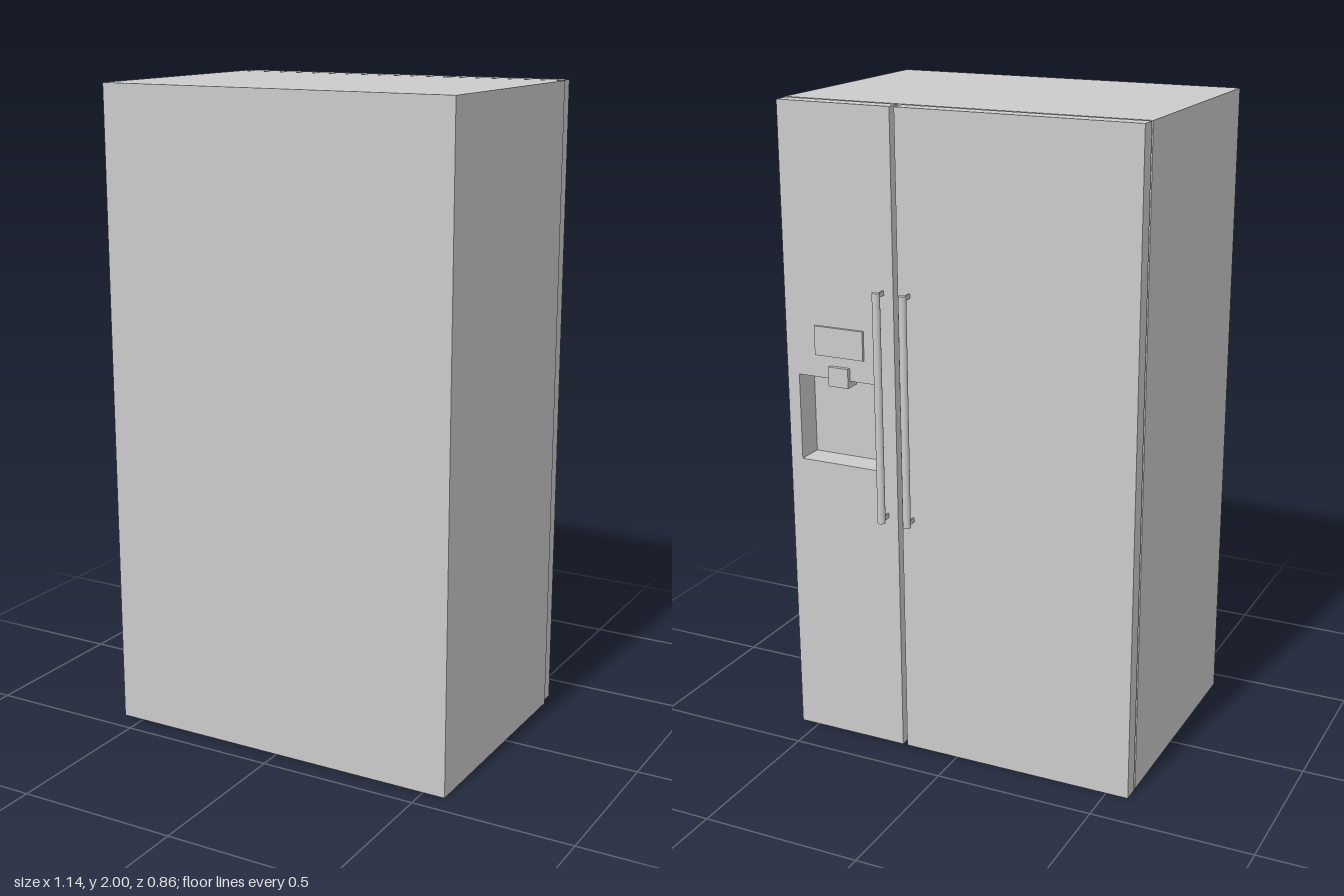
import * as THREE from 'three';

const material = new THREE.MeshStandardMaterial({ color: 0xcccccc });

// Dispenser opening, shared by every layer it passes through
const RECESS = [0.24, 0.52, 0.91, 1.18];

function add(parent, name, geometry) {
  const mesh = new THREE.Mesh(geometry, material);
  mesh.name = name;
  parent.add(mesh);
  return mesh;
}

// Axis-aligned block given by its limits
function block(parent, name, x0, x1, y0, y1, z0, z1) {
  const geometry = new THREE.BoxGeometry(x1 - x0, y1 - y0, z1 - z0);
  geometry.translate((x0 + x1) / 2, (y0 + y1) / 2, (z0 + z1) / 2);
  return add(parent, name, geometry);
}

function trace(path, [x0, x1, y0, y1]) {
  path.moveTo(x0, y0);
  path.lineTo(x1, y0);
  path.lineTo(x1, y1);
  path.lineTo(x0, y1);
  path.closePath();
  return path;
}

// Upright slab pierced by the dispenser opening
function piercedSlab(parent, name, x0, x1, y0, y1, z0, z1) {
  const shape = trace(new THREE.Shape(), [x0, x1, y0, y1]);
  shape.holes.push(trace(new THREE.Path(), RECESS));
  const geometry = new THREE.ExtrudeGeometry(shape, { depth: z1 - z0, bevelEnabled: false });
  geometry.translate(0, 0, z0);
  return add(parent, name, geometry);
}

// Round bar carried on two thin brackets
function handle(parent, name, x) {
  const group = new THREE.Group();
  group.name = name;
  const bar = add(group, 'handleBar', new THREE.CylinderGeometry(0.012, 0.012, 0.71, 20));
  bar.position.set(x, 1.118, -0.418);
  for (const y of [0.772, 1.463]) {
    block(group, 'handleBracket', x - 0.002, x + 0.002, y - 0.007, y + 0.007, -0.412, -0.375);
  }
  parent.add(group);
}

export function createModel() {
  const fridge = new THREE.Group();
  fridge.name = 'refrigerator';

  // Cabinet, with a pierced face so the dispenser can sink into it
  block(fridge, 'cabinet', -0.57, 0.57, 0, 2, -0.29, 0.43);
  piercedSlab(fridge, 'cabinetFace', -0.57, 0.57, 0, 2, -0.315, -0.29);

  // Side-by-side doors
  block(fridge, 'wideDoor', -0.57, 0.175, 0, 2, -0.375, -0.325);
  piercedSlab(fridge, 'narrowDoor', 0.19, 0.56, 0, 2, -0.375, -0.325);
  piercedSlab(fridge, 'doorGasket', 0.193, 0.557, 0, 1.96, -0.325, -0.315);

  // Dispenser control panel and spout
  block(fridge, 'controlPanel', 0.293, 0.457, 1.25, 1.34, -0.383, -0.375);
  block(fridge, 'dispenserSpout', 0.343, 0.41, 1.16, 1.22, -0.388, -0.335);

  handle(fridge, 'wideDoorHandle', 0.137);
  handle(fridge, 'narrowDoorHandle', 0.223);

  return fridge;
}
